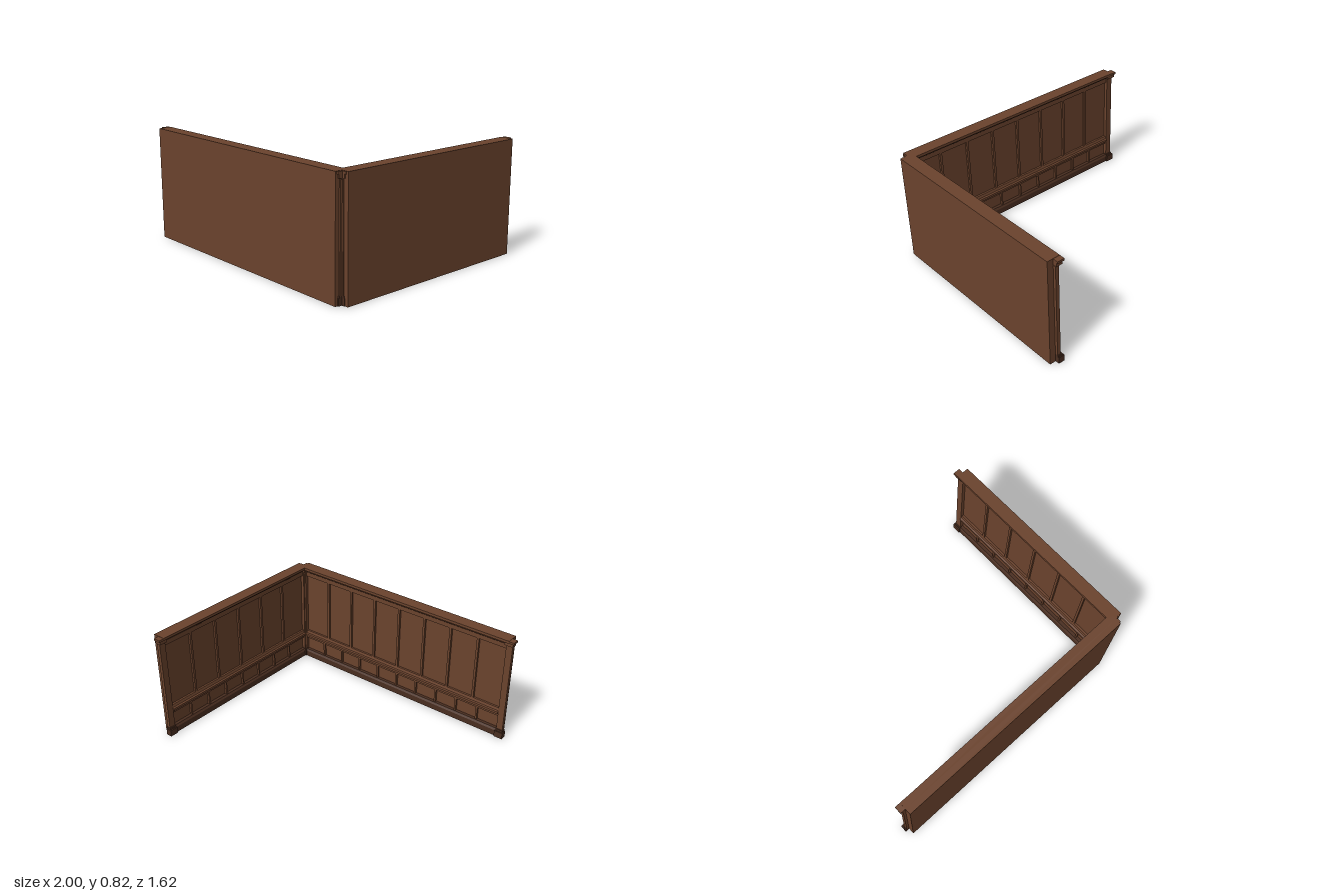
import * as THREE from 'three';

const wood = new THREE.MeshStandardMaterial({ color: 0x6b432d });
wood.name = 'brown wood';
const darkWood = new THREE.MeshStandardMaterial({ color: 0x4a2e20 });
darkWood.name = 'dark brown wood';

const HEIGHT = 0.82;
const THICK = 0.045;

// Box given by its limits on each axis
function block(parent, name, x0, x1, y0, y1, z0, z1, mat = wood) {
  const mesh = new THREE.Mesh(new THREE.BoxGeometry(x1 - x0, y1 - y0, z1 - z0), mat);
  mesh.position.set((x0 + x1) / 2, (y0 + y1) / 2, (z0 + z1) / 2);
  mesh.name = name;
  parent.add(mesh);
}

// Moulding along x from a (depth, height) profile
function moulding(parent, name, length, profile, mat = wood) {
  const shape = new THREE.Shape(profile.map(([d, y]) => new THREE.Vector2(-d, y)));
  const geo = new THREE.ExtrudeGeometry(shape, { depth: length, bevelEnabled: false });
  geo.translate(0, 0, -length / 2);
  geo.rotateY(Math.PI / 2);
  const mesh = new THREE.Mesh(geo, mat);
  mesh.name = name;
  parent.add(mesh);
}

// Upright strips between equal panels
function battens(parent, name, length, count, y0, y1, width) {
  for (let i = 1; i < count; i++) {
    const x = -length / 2 + (i * length) / count;
    block(parent, name, x - width / 2, x + width / 2, y0, y1, 0, 0.016);
  }
}

// Panelled wall: centred on x, panelling on the +z side
function panelledWall(name, length, upperPanels, lowerPanels) {
  const wall = new THREE.Group();
  wall.name = name;
  const h = length / 2;
  const inner = length - 0.06;
  block(wall, 'wallSlab', -h, h, 0, HEIGHT, -THICK, 0);

  // Horizontal trim
  moulding(wall, 'baseboard', length, [[0, 0], [0.035, 0], [0.035, 0.045], [0.025, 0.06], [0, 0.06]], darkWood);
  moulding(wall, 'chairRail', inner, [
    [0, 0.165], [0.016, 0.165], [0.016, 0.18], [0.026, 0.188], [0.036, 0.192],
    [0.036, 0.21], [0.022, 0.214], [0.016, 0.235], [0, 0.235],
  ]);
  moulding(wall, 'crown', length, [
    [0, 0.755], [0.016, 0.755], [0.016, 0.77], [0.03, 0.78],
    [0.04, 0.8], [0.052, 0.8], [0.052, HEIGHT], [0, HEIGHT],
  ]);
  block(wall, 'topFrame', -inner / 2, inner / 2, 0.735, 0.755, 0, 0.016);

  // Panel dividers
  battens(wall, 'upperBatten', inner, upperPanels, 0.235, 0.735, 0.018);
  battens(wall, 'lowerBatten', inner, lowerPanels, 0.06, 0.165, 0.014);

  // End pilasters with base and capital
  for (const s of [-1, 1]) {
    const end = (part, out, back, y0, y1, depth, mat) => {
      const a = s * (h - back), b = s * (h + out);
      block(wall, part, Math.min(a, b), Math.max(a, b), y0, y1, 0, depth, mat);
    };
    end('pilasterShaft', 0.02, 0.03, 0.06, 0.77, 0.026);
    end('pilasterBase', 0.032, 0.035, 0, 0.05, 0.045, darkWood);
    end('pilasterBaseStep', 0.026, 0.032, 0.05, 0.064, 0.035, darkWood);
    end('pilasterCapital', 0.03, 0.035, 0.775, 0.802, 0.044);
    end('pilasterCap', 0.04, 0.035, 0.802, 0.818, 0.053);
  }
  return wall;
}

export function createModel() {
  const model = new THREE.Group();
  model.name = 'panelledCorner';

  const front = panelledWall('frontWall', 1.905, 8, 10);
  front.rotation.y = Math.PI;
  front.position.set(-0.0075, 0, 0.762);

  const side = panelledWall('sideWall', 1.525, 6, 8);
  side.rotation.y = -Math.PI / 2;
  side.position.set(0.955, 0, -0.006);

  model.add(front, side);
  return model;
}
